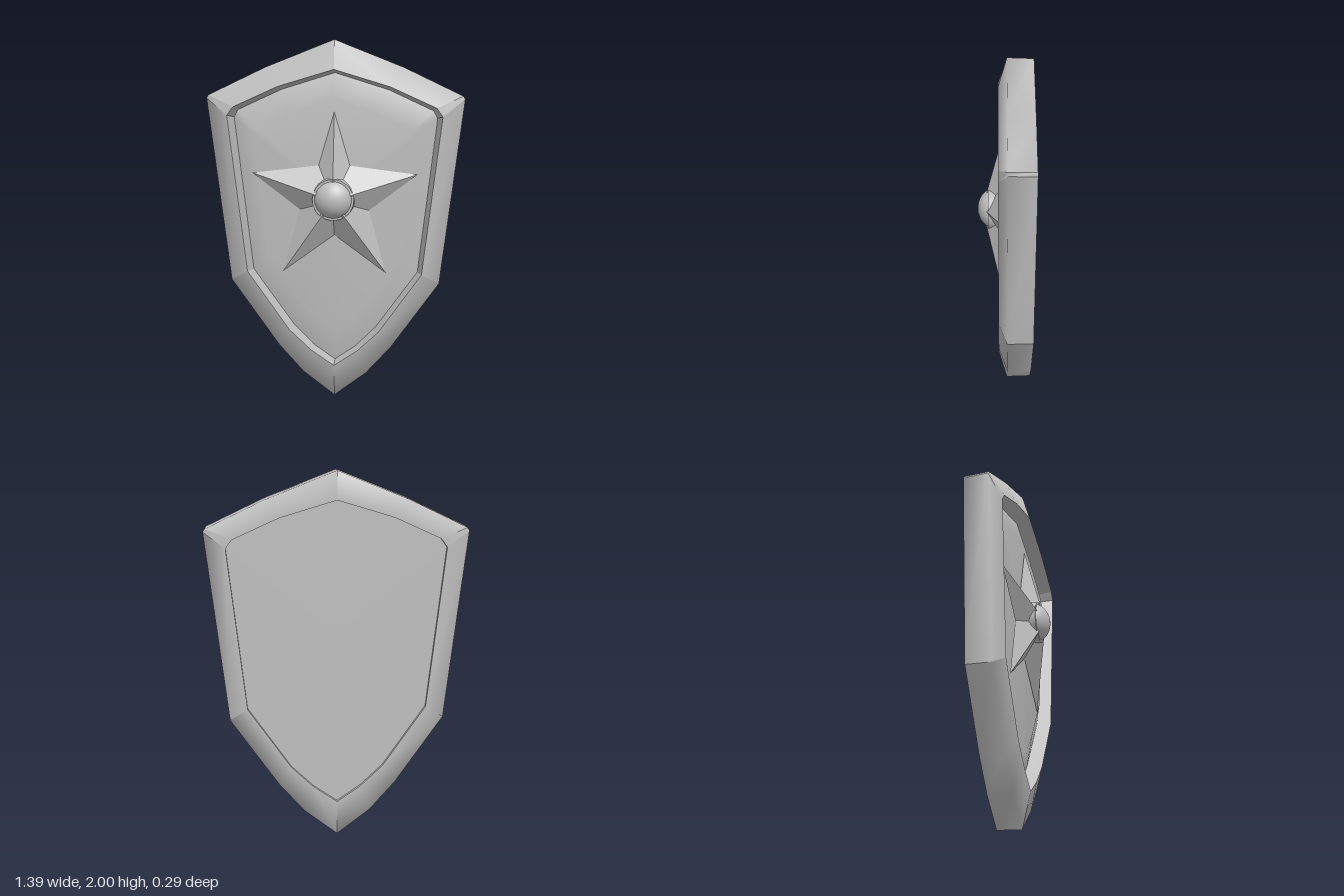
import * as THREE from 'three';
import { mergeGeometries } from 'three/addons/utils/BufferGeometryUtils.js';

// Mirror a right-hand outline (top apex to bottom apex) into a closed loop
const mirror = (half) => [...half, ...half.slice(1, -1).reverse().map(([x, y]) => [-x, y])];
const ring = (outline, z) => outline.map(([x, y]) => [x, y, z]);
const shrink = (outline, k, cy) => outline.map(([x, y]) => [x * k, cy + (y - cy) * k]);

const OUTER = mirror([[0, 2], [0.37, 1.855], [0.685, 1.706], [0.695, 1.69], [0.58, 0.675], [0.32, 0.3], [0.18, 0.14], [0, 0]]);
const LIP = mirror([[0, 1.845], [0.3, 1.755], [0.545, 1.645], [0.578, 1.6], [0.482, 0.735], [0.25, 0.4], [0.13, 0.285], [0, 0.195]]);
const WELL = mirror([[0, 1.825], [0.29, 1.735], [0.53, 1.625], [0.553, 1.585], [0.46, 0.73], [0.235, 0.41], [0.12, 0.29], [0, 0.205]]);
// Outline corners where the shading breaks
const BREAKS = [0, 2, 3, 4, 7, 10, 11, 12, 14];

function geometry(points, index) {
  const g = new THREE.BufferGeometry();
  g.setAttribute('position', new THREE.Float32BufferAttribute(points.flat(), 3));
  g.setIndex(index);
  g.computeVertexNormals();
  return g;
}

// Skin neighbouring rings, smooth across the section, creased at the corners
function loft(rings) {
  const parts = [];
  for (let b = 0; b < BREAKS.length - 1; b++) {
    const points = [], index = [];
    const n = BREAKS[b + 1] - BREAKS[b] + 1;
    for (const r of rings) for (let i = 0; i < n; i++) points.push(r[(BREAKS[b] + i) % r.length]);
    for (let j = 0; j < rings.length - 1; j++) {
      for (let i = 0; i < n - 1; i++) {
        const a = j * n + i, c = a + n;
        index.push(a, a + 1, c, a + 1, c + 1, c);
      }
    }
    parts.push(geometry(points, index));
  }
  return mergeGeometries(parts);
}

// Concentric rings closed by a centre point, with smooth normals
function panel(rings, centre, back) {
  const n = rings[0].length;
  const points = [...rings.flat(), centre], index = [];
  const tri = (a, b, c) => (back ? index.push(a, c, b) : index.push(a, b, c));
  for (let j = 0; j < rings.length; j++) {
    for (let i = 0; i < n; i++) {
      const k = (i + 1) % n, a = j * n + i, b = j * n + k;
      if (j === rings.length - 1) tri(a, n * rings.length, b);
      else { tri(a, a + n, b); tri(b, a + n, b + n); }
    }
  }
  return geometry(points, index);
}

export function createModel() {
  const group = new THREE.Group();
  const steel = new THREE.MeshStandardMaterial({ color: 0xbfbfbf });
  steel.name = 'grey steel';
  const add = (name, geo) => {
    const mesh = new THREE.Mesh(geo, steel);
    mesh.name = name;
    group.add(mesh);
    return mesh;
  };

  // Rim: front bevel, outer wall and back border
  const back = shrink(OUTER, 0.995, 1);
  add('rim', loft([ring(LIP, 0.035), ring(OUTER, -0.01), ring(back, -0.145), ring(LIP, -0.145)]));
  add('rimInnerWall', loft([ring(WELL, -0.045), ring(LIP, 0.035)]));
  add('backInnerWall', loft([ring(LIP, -0.145), ring(LIP, -0.125)]));

  // Gently domed front panel and flat back panel
  add('frontPanel', panel([ring(WELL, -0.045), ring(shrink(WELL, 0.8, 1.15), -0.006)], [0, 1.15, 0], false));
  add('backPanel', panel([ring(LIP, -0.125)], [0, 1.15, -0.125], true));

  // Five-pointed star with faceted ridges
  const star = mirror([[0, 1.62], [0.085, 1.33], [0.45, 1.285], [0.19, 1.085], [0.285, 0.735], [0, 0.945]]);
  const base = ring(star, 0.001);
  const facets = panel([base], [0, 1.155, 0.122], false).toNonIndexed();
  facets.computeVertexNormals();
  add('star', facets);

  // Round boss with its thin collar
  const boss = add('boss', new THREE.SphereGeometry(0.108, 32, 20));
  boss.scale.z = 0.85;
  boss.position.set(0, 1.155, 0.055);
  const collar = add('bossCollar', new THREE.CylinderGeometry(0.112, 0.118, 0.05, 32));
  collar.rotation.x = Math.PI / 2;
  collar.position.set(0, 1.155, 0.065);

  return group;
}
